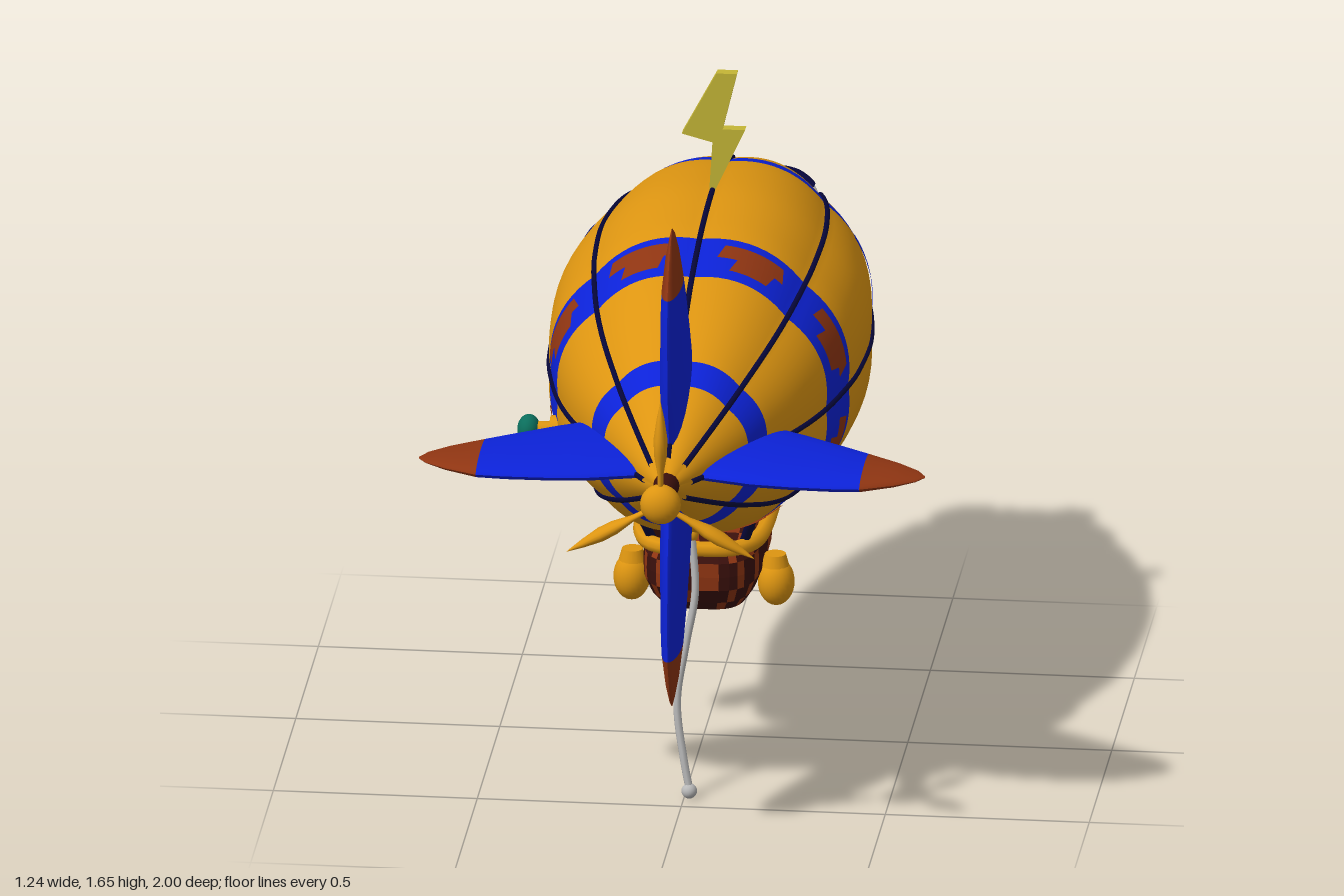
import * as THREE from 'three';
import { ParametricGeometry } from 'three/addons/geometries/ParametricGeometry.js';

const V = (x, y, z) => new THREE.Vector3(x, y, z);
const AXIS = 0.96, DEG = Math.PI / 180, lerp = THREE.MathUtils.lerp;

// Hull profile: distance along z, radius
const profile = new THREE.SplineCurve([
  [-1, 0.003], [-0.985, 0.065], [-0.95, 0.125], [-0.9, 0.175], [-0.8, 0.238], [-0.7, 0.28],
  [-0.55, 0.33], [-0.4, 0.363], [-0.2, 0.384], [0, 0.376], [0.1, 0.362], [0.26, 0.328],
  [0.4, 0.28], [0.54, 0.213], [0.61, 0.175], [0.7, 0.12], [0.8, 0.055], [0.83, 0.03],
].map(p => new THREE.Vector2(...p))).getPoints(300);

function radiusAt(z) {
  let i = 1;
  while (i < profile.length - 1 && profile[i].x < z) i++;
  const a = profile[i - 1], b = profile[i];
  return lerp(a.y, b.y, THREE.MathUtils.clamp((z - a.x) / (b.x - a.x), 0, 1));
}
// Eight softly swollen gores
const lobe = t => 1 + 0.035 * Math.abs(Math.sin(4 * t));
function onHull(t, z, off = 0) {
  const r = radiusAt(z) * lobe(t) + off;
  return V(r * Math.cos(t), AXIS + r * Math.sin(t), z);
}
// Point on the nose from face coordinates, y measured from the axis
function onNose(x, y, off) {
  const r = Math.hypot(x, y) / lobe(Math.atan2(y, x));
  const p = profile.find(q => q.y >= r);
  const n = V(x * 2, y * 2, -0.25).normalize();
  return V(x, AXIS + y, p.x).addScaledVector(n, off);
}
function surface(fn, nu, nv) {
  const g = new ParametricGeometry((u, v, target) => target.copy(fn(u, v)), nu, nv);
  g.computeVertexNormals();
  return g;
}

export function createModel() {
  const model = new THREE.Group();
  model.name = 'airship';
  const paint = (name, color) => {
    const m = new THREE.MeshStandardMaterial({ color, side: THREE.DoubleSide });
    m.name = name;
    return m;
  };
  const orange = paint('orange', 0xdd9511), blue = paint('blue', 0x0c22d8), rust = paint('rust', 0x8f3512),
    dark = paint('dark brown', 0x3a100c), navy = paint('navy', 0x06063a), white = paint('white', 0xeeeeee),
    grey = paint('grey', 0xb8b8b8), yellow = paint('yellow', 0xc4b536), teal = paint('teal', 0x0b6e5c);

  const add = (name, geo, mat, pos, parent = model) => {
    const m = new THREE.Mesh(geo, mat);
    m.name = name;
    if (pos) m.position.copy(pos);
    parent.add(m);
    return m;
  };
  const ball = (name, mat, pos, sx, sy, sz, parent) => {
    const m = add(name, new THREE.SphereGeometry(1, 24, 16), mat, pos, parent);
    m.scale.set(sx, sy, sz);
    return m;
  };
  const tube = (name, pts, r, mat, n = 24, closed = false) =>
    add(name, new THREE.TubeGeometry(new THREE.CatmullRomCurve3(pts, closed), n, r, 8, closed), mat);

  // Hull in coloured sections
  [[-1, -0.59, orange, 24], [-0.59, -0.51, blue, 3], [-0.51, 0.09, orange, 16], [0.09, 0.26, blue, 5],
    [0.26, 0.54, orange, 10], [0.54, 0.61, blue, 3], [0.61, 0.83, orange, 8]].forEach(([z0, z1, mat, n], i) => {
    const ease = i === 0 ? 2 : 1;
    add(mat === blue ? 'hullBand' : 'hull',
      surface((u, v) => onHull(u * 2 * Math.PI, lerp(z0, z1, v ** ease)), 96, n), mat);
  });

  // Seams
  for (let k = 0; k < 8; k++) {
    const pts = [];
    for (let i = 0; i <= 20; i++) pts.push(onHull(k * 45 * DEG, lerp(-0.64, 0.8, i / 20), 0.002));
    tube('seam', pts, 0.007, navy, 40);
  }

  // Painted plate: corners given as [angle, z]
  const plate = (name, mat, a, b, c, d) => add(name, surface((u, v) => onHull(
    lerp(lerp(a[0], b[0], u), lerp(d[0], c[0], u), v),
    lerp(lerp(a[1], b[1], u), lerp(d[1], c[1], u), v), 0.004), 10, 6), mat);

  // Rust patches on the wide band
  for (let k = 0; k < 8; k++) {
    const c = (22.5 + 45 * k) * DEG, w = 14 * DEG, n = 8 * DEG, s = 2 * DEG;
    plate('bandPatch', rust, [c - w + s, 0.125], [c + w - s, 0.125], [c + w, 0.18], [c - w, 0.18]);
    plate('bandPatch', rust, [c - n - s, 0.18], [c + n - s, 0.18], [c + n, 0.23], [c - n, 0.23]);
  }

  // Bolt emblems on both flanks
  const angle = y => Math.asin((y - AXIS) / 0.37);
  for (const side of [1, -1]) {
    const p = (y, z) => [side > 0 ? angle(y) : Math.PI - angle(y), z];
    plate('boltEmblem', blue, p(1.145, -0.425), p(1.145, -0.465), p(1.04, -0.42), p(1.04, -0.375));
    plate('boltEmblem', blue, p(1.075, -0.41), p(1.075, -0.465), p(0.955, -0.413), p(0.955, -0.407));
  }

  // Tail fins: distance from axis, leading z, trailing z, half thickness
  const finRows = [[0.05, 0.34, 0.76, 0.035], [0.2, 0.41, 0.8, 0.034], [0.3, 0.465, 0.81, 0.031],
    [0.4, 0.53, 0.812, 0.028], [0.47, 0.575, 0.808, 0.024], [0.55, 0.625, 0.772, 0.015],
    [0.6, 0.665, 0.738, 0.006], [0.62, 0.7, 0.71, 0.001]];
  const finPart = rows => surface((u, v) => {
    const f = v * (rows.length - 1), i = Math.min(Math.floor(f), rows.length - 2);
    const [s, z0, z1, h] = rows[i].map((a, j) => lerp(a, rows[i + 1][j], f - i));
    const t = u * 2 * Math.PI;
    return V(h * Math.sin(t), s, (z0 + z1) / 2 + (z1 - z0) / 2 * Math.cos(t));
  }, 24, (rows.length - 1) * 2);
  for (let k = 0; k < 4; k++) {
    const fin = new THREE.Group();
    fin.name = 'tailFin';
    fin.position.y = AXIS;
    fin.rotation.z = k * Math.PI / 2;
    add('finBlade', finPart(finRows.slice(0, 5)), blue, null, fin);
    add('finTip', finPart(finRows.slice(4)), rust, null, fin);
    model.add(fin);
  }

  // Propeller
  add('propellerShaft', new THREE.CylinderGeometry(0.024, 0.034, 0.13, 16), dark, V(0, AXIS, 0.87)).rotation.x = Math.PI / 2;
  ball('propellerHub', orange, V(0, AXIS, 0.96), 0.05, 0.05, 0.04);
  const bladeGeo = new THREE.LatheGeometry([[0.009, 0.03], [0.012, 0.08], [0.025, 0.13], [0.026, 0.17],
    [0.015, 0.22], [0.001, 0.265]].map(p => new THREE.Vector2(...p)), 16);
  for (let k = 0; k < 3; k++) {
    const blade = add('propellerBlade', bladeGeo, orange, V(0, AXIS, 0.96));
    blade.rotation.z = k * 120 * DEG;
    blade.scale.x = 0.65;
  }

  // Bolt mast on top
  const bolt = new THREE.Shape([[0.01, 1.65], [0.06, 1.65], [0.025, 1.505], [0.08, 1.505], [-0.01, 1.31],
    [0, 1.47], [-0.075, 1.49]].map(p => new THREE.Vector2(...p)));
  add('boltMast', new THREE.ExtrudeGeometry(bolt, { depth: 0.028, bevelEnabled: false }), yellow, V(0, 0, -0.219));

  // Face
  for (const s of [1, -1]) {
    const eye = new THREE.Group();
    eye.name = 'eye';
    eye.position.set(s * 0.128, 1.045, -0.935);
    eye.lookAt(s * 0.128 + s * 0.45, 1.045 + 0.25, -0.935 - 0.9);
    model.add(eye);
    ball('eyeball', white, null, 0.06, 0.085, 0.04, eye);
    ball('iris', rust, V(s * 0.012, -0.008, 0.031), 0.024, 0.032, 0.011, eye);
    ball('pupil', navy, V(s * 0.013, -0.006, 0.036), 0.015, 0.021, 0.009, eye);

    const brow = [];
    for (let i = 0; i <= 6; i++) {
      const a = lerp(41, 20, i / 6) * DEG;
      brow.push(onHull(Math.PI / 2 - s * a, lerp(-0.715, -0.92, i / 6), 0.004));
    }
    tube('eyebrow', brow, 0.011, navy);

    const t = s > 0 ? -6 * DEG : 186 * DEG, cheekPos = onHull(t, -0.895, 0.001);
    const cheek = ball('cheek', rust, cheekPos, 0.03, 0.025, 0.008);
    cheek.lookAt(cheekPos.clone().add(V(s * 0.8, -0.08, -0.45)));
  }
  const mouthPart = (name, mat, x0, x1, top, bottom, off) => add(name, surface((u, v) => {
    const x = lerp(x0, x1, u);
    return onNose(x, lerp(top(x), bottom(x), v), off);
  }, 16, 6), mat);
  const lipTop = x => -0.085 + 4 * x * x, lipBottom = x => -0.15 + 10.5 * x * x;
  mouthPart('mouth', dark, -0.1, 0.1, lipTop, lipBottom, 0.004);
  mouthPart('tongue', rust, -0.05, 0.05, x => -0.122 + 2 * x * x, x => lipBottom(x) + 0.006, 0.007);
  for (const s of [1, -1])
    mouthPart('tooth', white, s * 0.035, s * 0.065, lipTop, x => lipTop(x) - 0.026 + Math.abs(x - s * 0.05) * 1.5, 0.007);

  // Gondola with a ragged two-tone pattern
  const rings = [[0.55, 0.125, 0.24], [0.51, 0.145, 0.27], [0.475, 0.147, 0.272], [0.44, 0.145, 0.27],
    [0.4, 0.13, 0.245], [0.366, 0.11, 0.2], [0.366, 0.06, 0.12], [0.366, 0.002, 0.004]];
  const round = t => V(Math.sign(Math.cos(t)) * Math.abs(Math.cos(t)) ** 0.55, 0,
    Math.sign(Math.sin(t)) * Math.abs(Math.sin(t)) ** 0.55);
  const sides = 36, cells = new THREE.BufferGeometry(), pos = [];
  const corner = (i, k) => {
    const c = round(i / sides * 2 * Math.PI), [y, hx, hz] = rings[k];
    return [c.x * hx, y, c.z * hz - 0.095];
  };
  for (let k = 0; k < rings.length - 1; k++) for (let i = 0; i < sides; i++) {
    const a = corner(i, k), b = corner(i + 1, k), c = corner(i + 1, k + 1), d = corner(i, k + 1);
    cells.addGroup(pos.length / 3, 6, (i + k * (k % 2 ? 1 : 2)) % 3 === 0 ? 1 : 0);
    pos.push(...a, ...b, ...c, ...a, ...c, ...d);
  }
  cells.setAttribute('position', new THREE.Float32BufferAttribute(pos, 3));
  cells.computeVertexNormals();
  add('gondola', cells, [dark, rust]);

  // Rim, struts and hanging pods
  const rim = [];
  for (let i = 0; i < 32; i++) {
    const c = round(i / 32 * 2 * Math.PI);
    rim.push(V(c.x * 0.152, 0.548, c.z * 0.262 - 0.09));
  }
  tube('gondolaRim', rim, 0.02, orange, 64, true);
  for (const s of [1, -1]) {
    tube('rearStrut', [V(s * 0.11, 0.545, 0.12), V(s * 0.15, 0.67, 0.19)], 0.012, navy, 2);
    tube('frontStrut', [V(s * 0.11, 0.545, -0.3), V(s * 0.15, 0.63, -0.385)], 0.012, navy, 2);
    ball('pod', orange, V(s * 0.177, 0.405, -0.005), 0.045, 0.06, 0.047);
    add('podCap', new THREE.CylinderGeometry(0.026, 0.034, 0.03, 16), orange, V(s * 0.175, 0.462, -0.005));
  }

  // Forward lamp on an arm
  tube('lampArm', [V(0, 0.548, -0.33), V(0, 0.565, -0.43), V(0, 0.602, -0.55)], 0.015, orange);
  ball('lamp', teal, V(0, 0.6, -0.54), 0.022, 0.022, 0.014);

  // Side valve
  const along = (name, r0, r1, len, x) =>
    add(name, new THREE.CylinderGeometry(r0, r1, len, 20), orange, V(x, 0.868, 0.235)).rotation.z = Math.PI / 2;
  along('valveNeck', 0.02, 0.02, 0.1, -0.345);
  along('valveFlange', 0.034, 0.04, 0.03, -0.335);
  ball('valveKnob', teal, V(-0.403, 0.868, 0.235), 0.028, 0.036, 0.036);

  // Trailing rope
  ball('ropeClip', orange, V(0.01, 0.655, 0.352), 0.016, 0.02, 0.016);
  tube('rope', [V(0.01, 0.65, 0.354), V(0.02, 0.51, 0.373), V(0, 0.385, 0.39), V(-0.02, 0.24, 0.41),
    V(-0.002, 0.1, 0.43), V(0.013, 0.025, 0.44)], 0.0095, grey, 40);
  ball('ropeEnd', grey, V(0.013, 0.019, 0.44), 0.019, 0.019, 0.019);
  return model;
}
